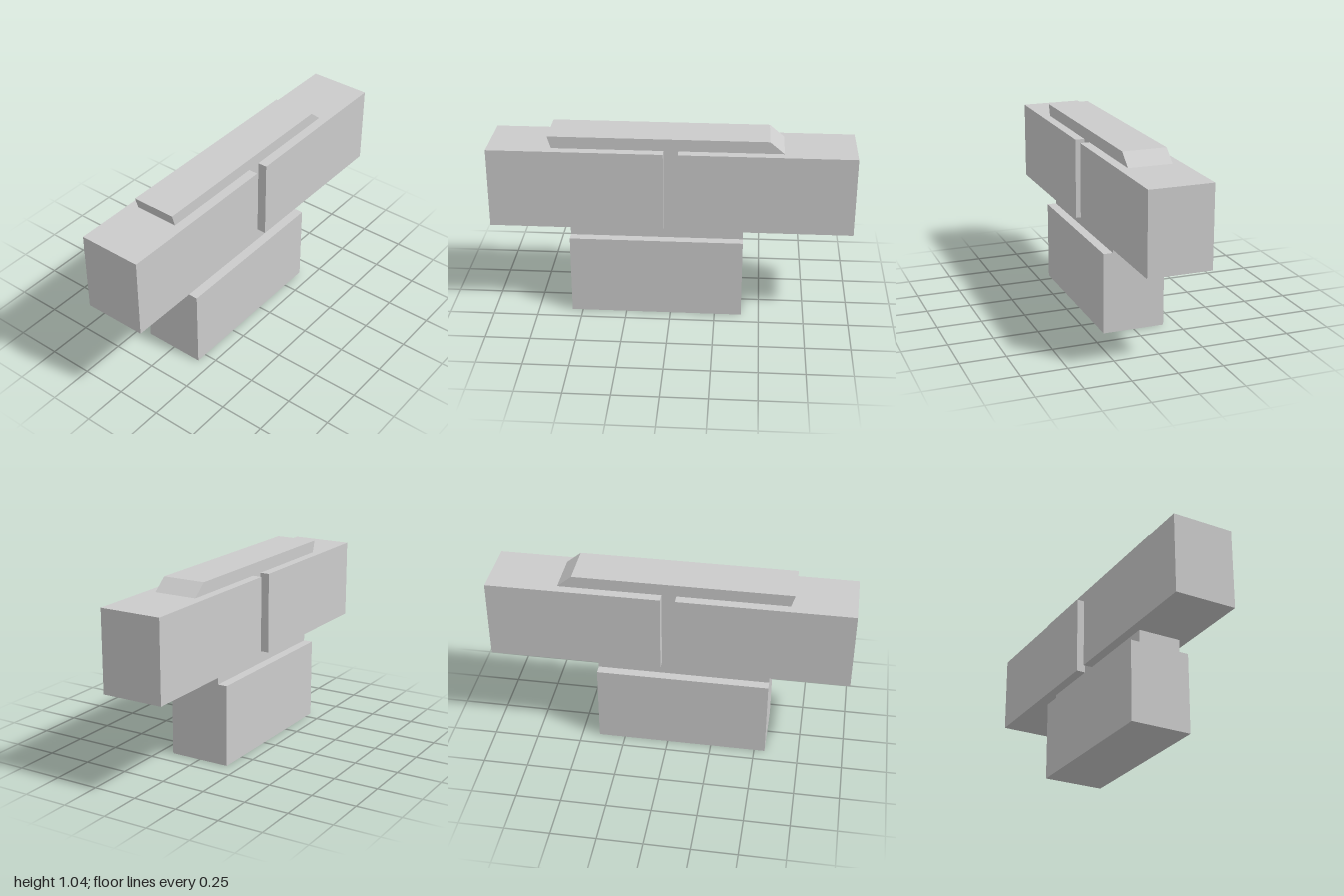
import * as THREE from 'three';

const material = new THREE.MeshStandardMaterial({ color: 0xcccccc, flatShading: true });

export function createModel() {
  const model = new THREE.Group();
  model.name = 'stackedBlocks';

  const add = (name, geometry) => {
    const mesh = new THREE.Mesh(geometry, material);
    mesh.name = name;
    model.add(mesh);
    return mesh;
  };

  // Block spanning y0..y1 and z0..z1, centred on x
  const block = (name, width, y0, y1, z0, z1) => {
    const mesh = add(name, new THREE.BoxGeometry(width, y1 - y0, z1 - z0));
    mesh.position.set(0, (y0 + y1) / 2, (z0 + z1) / 2);
  };

  const width = 0.35;
  block('lowerBlock', width, 0, 0.455, -0.4, 0.56);
  block('upperFrontBlock', width, 0.525, 0.975, 0.04, 1);
  block('upperBackBlock', width, 0.525, 0.975, -1, -0.04);

  // Narrow core: neck, web in the gap and the slanted top ridge, as a (z, y) profile
  const coreWidth = 0.245;
  const profile = new THREE.Shape([
    [-0.4, 0.455], [0.56, 0.455], [0.56, 0.75], [0.65, 0.975], [0.67, 1.042],
    [-0.53, 1.042], [-0.61, 0.975], [-0.4, 0.75],
  ].map(([z, y]) => new THREE.Vector2(z, y)));
  const core = new THREE.ExtrudeGeometry(profile, { depth: coreWidth, bevelEnabled: false });
  core.translate(0, 0, -coreWidth / 2);
  core.rotateY(-Math.PI / 2);
  add('core', core);

  return model;
}
